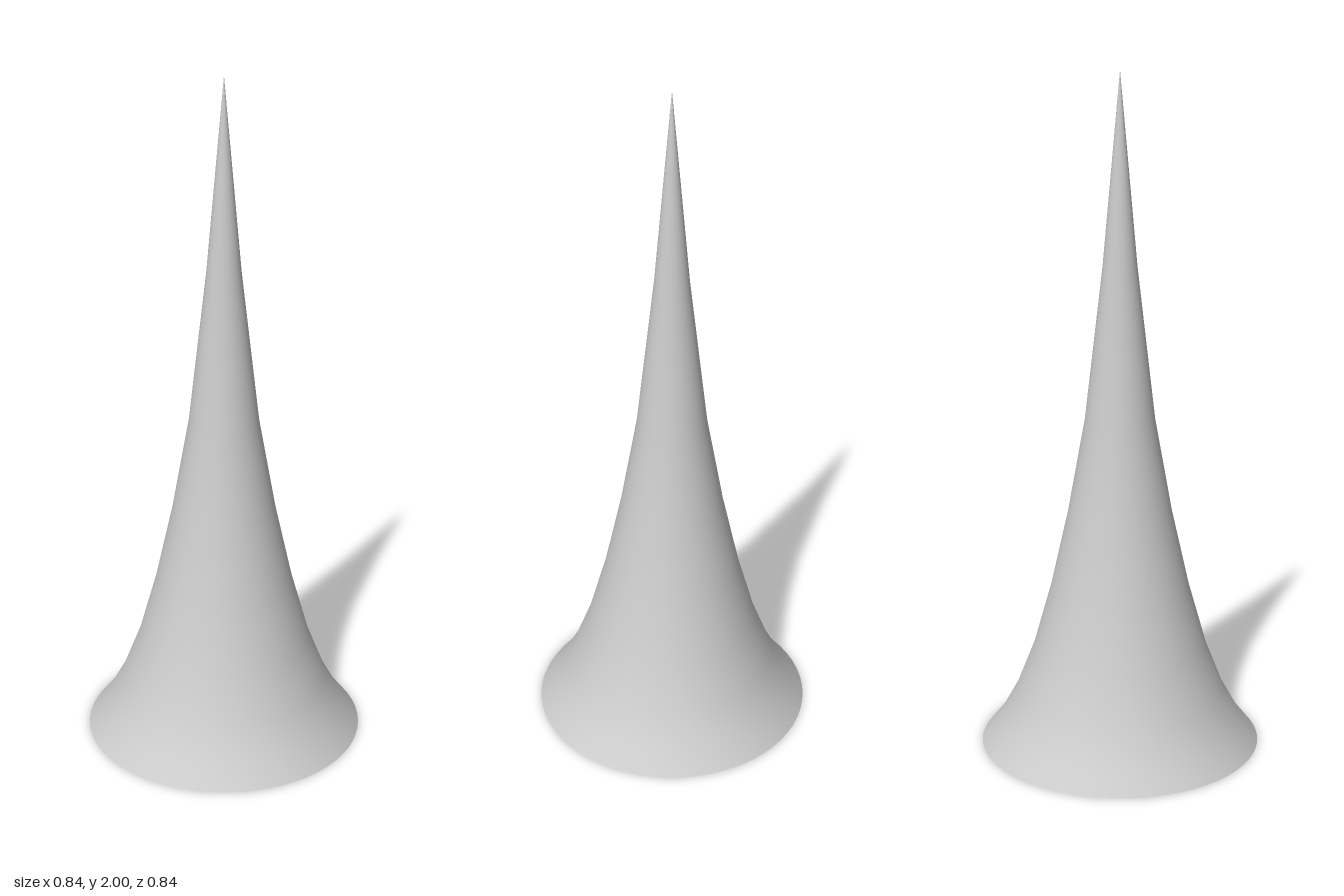
import * as THREE from 'three';

export function createModel() {
  const group = new THREE.Group();
  group.name = 'flaredSpike';

  // Profile from the open flared rim up to the sharp tip: [radius, height]
  const profile = [
    [0.42, 0], [0.365, 0.07], [0.315, 0.16], [0.26, 0.3], [0.206, 0.49],
    [0.154, 0.72], [0.103, 1.0], [0.05, 1.45], [0, 2],
  ].map(([r, y]) => new THREE.Vector2(r, y));

  // Thin hollow shell, open at the bottom
  const shell = new THREE.Mesh(
    new THREE.LatheGeometry(profile, 64),
    new THREE.MeshStandardMaterial({ color: 0xcccccc, side: THREE.DoubleSide })
  );
  shell.name = 'hollowSpikeShell';
  group.add(shell);

  return group;
}
